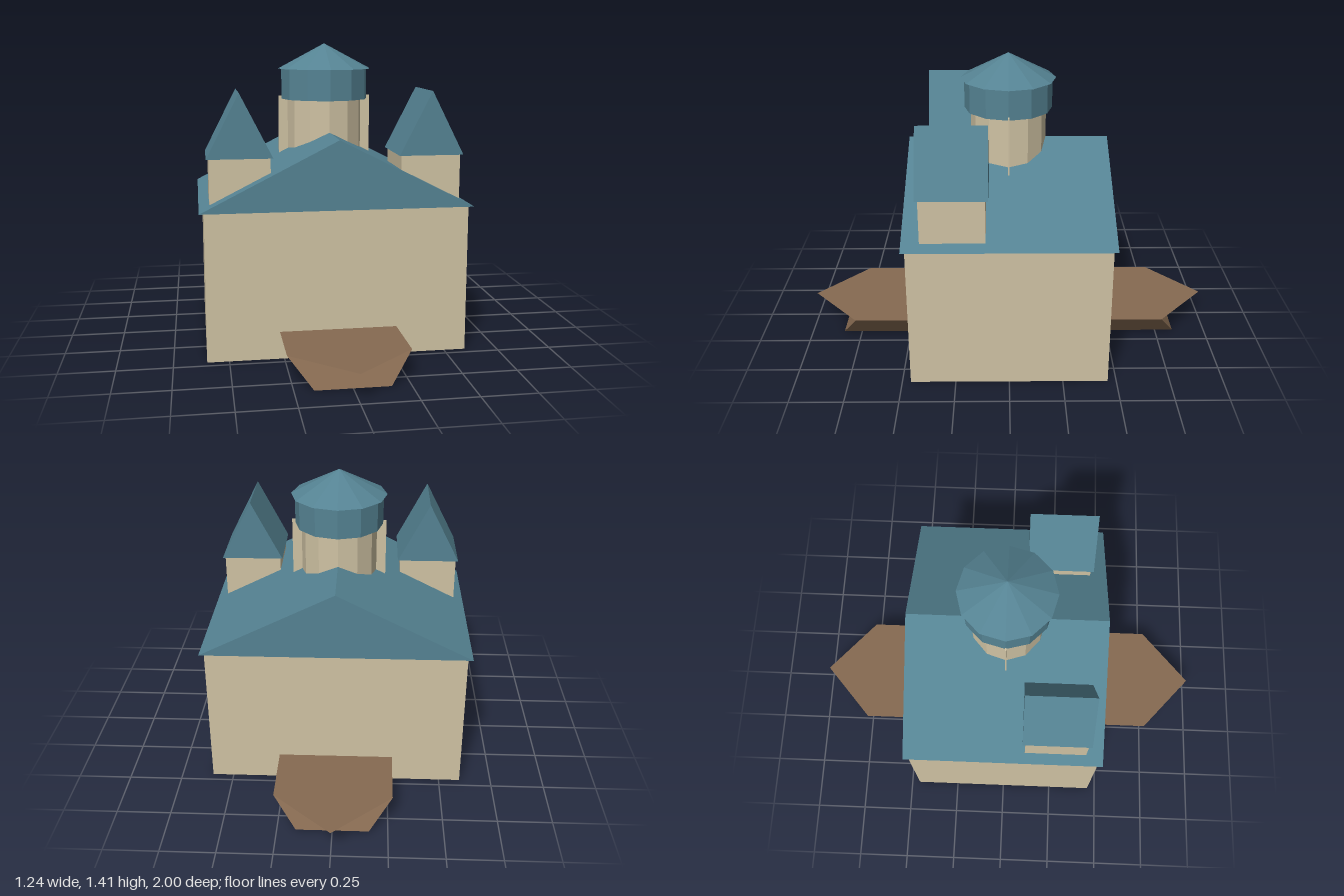
import * as THREE from 'three';

const wall = new THREE.MeshStandardMaterial({ color: 0xcfc2a3, flatShading: true });
const roof = new THREE.MeshStandardMaterial({ color: 0x558393, flatShading: true });
const wood = new THREE.MeshStandardMaterial({ color: 0x866a51, flatShading: true, side: THREE.DoubleSide });
wall.name = 'stoneWall';
roof.name = 'blueRoof';
wood.name = 'brownWood';

function add(parent, name, geometry, material, x = 0, y = 0, z = 0) {
  const mesh = new THREE.Mesh(geometry, material);
  mesh.name = name;
  mesh.position.set(x, y, z);
  parent.add(mesh);
  return mesh;
}

// Box standing on its base
function block(w, h, d) {
  return new THREE.BoxGeometry(w, h, d).translate(0, h / 2, 0);
}

// Outline in x, y pushed along z
function prism(points, depth) {
  const shape = new THREE.Shape(points.map(([x, y]) => new THREE.Vector2(x, y)));
  return new THREE.ExtrudeGeometry(shape, { depth, bevelEnabled: false });
}

// Gable roof with its ridge along z
function gable(w, h, d) {
  return prism([[-w / 2, 0], [w / 2, 0], [0, h]], d).translate(0, 0, -d / 2);
}

// Twelve-sided drum standing on its base
function drum(rTop, rBottom, h) {
  return new THREE.CylinderGeometry(rTop, rBottom, h, 12).translate(0, h / 2, 0);
}

// Landing with splayed sides, a raked end and a thin pointed deck
function makeLanding() {
  const landing = new THREE.Group();
  const hull = prism([[-0.165, 0], [0.165, 0], [0.27, 0.128], [-0.27, 0.128]], 0.3).translate(0, 0, 0.46);
  const p = hull.attributes.position;
  for (let i = 0; i < p.count; i++) {
    if (p.getZ(i) > 0.7 && p.getY(i) < 0.01) p.setZ(i, 0.84);
  }
  hull.computeVertexNormals();
  add(landing, 'landingHull', hull, wood);

  const tip = new THREE.BufferGeometry().setFromPoints([
    new THREE.Vector3(-0.27, 0.128, 0.76),
    new THREE.Vector3(0, 0.128, 1),
    new THREE.Vector3(0.27, 0.128, 0.76),
  ]);
  tip.computeVertexNormals();
  add(landing, 'landingTip', tip, wood);
  return landing;
}

export function createModel() {
  const model = new THREE.Group();
  model.name = 'hall';

  // Main hall
  add(model, 'hallWalls', block(1.2, 0.685, 0.92), wall);
  add(model, 'hallRoof', gable(1.244, 0.315, 0.956), roof, 0, 0.685);

  // Pair of gabled turrets
  for (const [side, x] of [['left', 0.436], ['right', -0.436]]) {
    const turret = new THREE.Group();
    turret.name = side + 'Turret';
    turret.position.set(x, 0, 0.25);
    add(turret, 'turretWalls', block(0.275, 0.225, 0.292), wall, 0, 0.69);
    add(turret, 'turretRoof', gable(0.298, 0.292, 0.318), roof, 0, 0.915);
    model.add(turret);
  }

  // Central tower with side fins
  const tower = new THREE.Group();
  tower.name = 'centralTower';
  add(tower, 'towerDrum', drum(0.18, 0.18, 0.45), wall, 0, 0.72);
  add(tower, 'towerFins', block(0.448, 0.445, 0.006), wall, 0, 0.72);
  add(tower, 'towerBand', drum(0.209, 0.209, 0.145), roof, 0, 1.15);
  add(tower, 'towerCap', drum(0, 0.226, 0.12), roof, 0, 1.295);
  model.add(tower);

  // Front and back landings
  for (const [name, turn] of [['frontLanding', 0], ['backLanding', Math.PI]]) {
    const landing = makeLanding();
    landing.name = name;
    landing.rotation.y = turn;
    model.add(landing);
  }
  return model;
}
